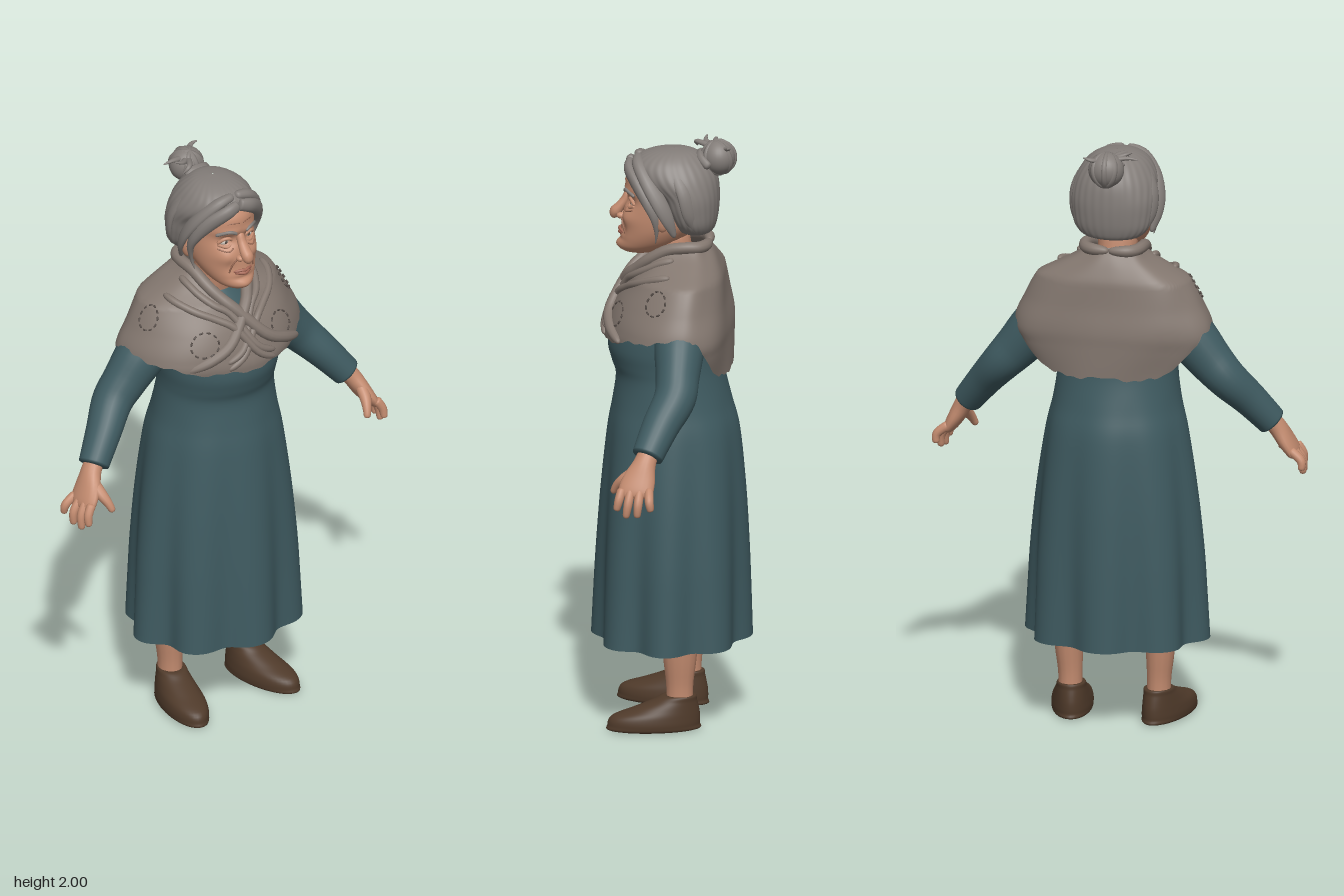
import * as THREE from 'three';

const V = (x, y, z) => new THREE.Vector3(x, y, z);
const mat = (name, color, side = THREE.FrontSide) =>
  Object.assign(new THREE.MeshStandardMaterial({ color, side }), { name });
const bell = (dx, dy, w, h) => Math.exp(-((dx / w) ** 2) - (dy / h) ** 2);

// Smooth interpolation through table rows at fractional index f
function at(rows, f) {
  const n = rows.length, i = Math.min(Math.max(Math.floor(f), 0), n - 2), k = f - i;
  const r = j => rows[Math.min(Math.max(j, 0), n - 1)];
  return rows[i].map((_, c) => {
    const a = r(i - 1)[c], b = r(i)[c], d = r(i + 1)[c], e = r(i + 2)[c];
    return b + 0.5 * k * (d - a + k * (2 * a - 5 * b + 4 * d - e + k * (3 * (b - d) + e - a)));
  });
}

// Closed-around surface from a point rule fn(angle, v)
function skin(nu, nv, fn) {
  const pos = [], idx = [];
  for (let j = 0; j <= nv; j++) for (let i = 0; i < nu; i++) {
    pos.push(...fn(i / nu * Math.PI * 2, j / nv).toArray());
    if (j === nv) continue;
    const a = j * nu + i, b = j * nu + (i + 1) % nu;
    idx.push(a, a + nu, b, b, a + nu, b + nu);
  }
  const g = new THREE.BufferGeometry();
  g.setAttribute('position', new THREE.Float32BufferAttribute(pos, 3));
  g.setIndex(idx);
  g.computeVertexNormals();
  return g;
}

// Stacked oval rings: rows of [y, half width, front z, back z]
const loft = (rows, nu, nv, swell = () => 1, tweak = p => p) => skin(nu, nv, (a, v) => {
  const [y, rx, zf, zb] = at(rows, v * (rows.length - 1)), m = swell(a, y);
  return tweak(V(rx * m * Math.cos(a), y, (zf + zb) / 2 + (zf - zb) / 2 * m * Math.sin(a)));
});

// Bent tapering form: rows of [x, y, z, half width, half thickness], rounded ends
function limb(rows, round = 0.1, nv = 22, nu = 14) {
  const rings = [], last = rows.length - 1;
  let n = V(0, 0, 1);
  for (let j = 0; j <= nv; j++) {
    const t = (1 - Math.cos(Math.PI * j / nv)) / 2, r = at(rows, t * last);
    const p0 = at(rows, Math.max(t - 0.01, 0) * last), p1 = at(rows, Math.min(t + 0.01, 1) * last);
    const d = V(p1[0] - p0[0], p1[1] - p0[1], p1[2] - p0[2]).normalize();
    if (j === 0 && Math.abs(d.z) > 0.9) n = V(0, 1, 0);
    n = n.clone().addScaledVector(d, -n.dot(d)).normalize();
    const e = Math.min(t, 1 - t) / round, cap = e < 1 ? Math.max(Math.sqrt(e * (2 - e)), 0.01) : 1;
    rings.push({ c: V(r[0], r[1], r[2]), n, b: n.clone().cross(d), w: r[3] * cap, h: r[4] * cap });
  }
  return skin(nu, nv, (a, v) => {
    const q = rings[Math.round(v * nv)];
    return q.c.clone().addScaledVector(q.n, q.w * Math.cos(a)).addScaledVector(q.b, q.h * Math.sin(a));
  });
}
const rope = (pts, r, nv = 22, nu = 8) => limb(pts.map(p => [p.x, p.y, p.z, r, r]), 0.12, nv, nu);

// Shawl surface at an angle and height
const SHAWL = [[1.2, .25, .2, -.2], [1.33, .325, .222, -.2], [1.38, .335, .215, -.2], [1.46, .3, .185, -.187],
  [1.545, .255, .13, -.175], [1.58, .19, .095, -.16], [1.62, .12, .07, -.14], [1.66, .085, .05, -.115]];
function shawlPoint(a, y, out = 0) {
  let i = 0;
  while (i < SHAWL.length - 2 && SHAWL[i + 1][0] < y) i++;
  const [, rx, zf, zb] = at(SHAWL, i + (y - SHAWL[i][0]) / (SHAWL[i + 1][0] - SHAWL[i][0]));
  const c = Math.cos(a), s = Math.sin(a), e = s < 0 ? 0.8 : 1, zc = -0.05;
  const depth = (s < 0 ? zc - zb : zf - zc) + out;
  return V((rx + out) * Math.sign(c) * Math.abs(c) ** e, y, zc + depth * Math.sign(s) * Math.abs(s) ** e);
}
const shawlTop = a => Math.sin(a) > 0 ? 1.48 + 0.175 * Math.abs(Math.cos(a)) ** 0.45 : 1.655;
const shawlHem = a => {
  const s = Math.sin(a);
  return 1.385 - 0.06 * Math.max(0, s) ** 2 - 0.16 * THREE.MathUtils.smoothstep(-s, 0.25, 0.85)
    + 0.005 * Math.sin(11 * a) + 0.003 * Math.sin(29 * a);
};

export function createModel() {
  const model = new THREE.Group();
  model.name = 'oldWoman';
  const teal = mat('tealCloth', 0x3f5b61, THREE.DoubleSide), wool = mat('greyWool', 0x83776f, THREE.DoubleSide);
  const flesh = mat('skin', 0xc48c70), hairGrey = mat('greyHair', 0x837d79), leather = mat('brownLeather', 0x4f3a2a);
  const white = mat('eyeWhite', 0xd6cec4), iris = mat('iris', 0x5a5048), lip = mat('lips', 0xa86a58);
  const thread = mat('stitchThread', 0x564d48), crease = mat('wrinkle', 0x9a6a54);
  const add = (name, geo, material, parent = model) => {
    const m = new THREE.Mesh(geo, material);
    m.name = name;
    parent.add(m);
    return m;
  };
  const ball = (name, x, y, z, rx, ry, rz, material) => {
    const m = add(name, new THREE.SphereGeometry(1, 28, 20), material);
    m.position.set(x, y, z);
    m.scale.set(rx, ry, rz);
    return m;
  };

  // Dress with eight folds that deepen toward the hem
  add('dress', loft([[.29, .297, .254, -.254], [.45, .291, .249, -.252], [.6, .284, .243, -.249], [.8, .266, .231, -.241],
    [1, .238, .213, -.224], [1.1, .216, .197, -.2], [1.19, .203, .186, -.178], [1.24, .202, .2, -.17],
    [1.3, .207, .213, -.165], [1.38, .205, .2, -.165], [1.46, .18, .15, -.15], [1.52, .12, .105, -.12],
    [1.56, .075, .065, -.09]], 128, 60,
    (a, y) => 1 + Math.max(0, (1.15 - y) / 0.86) * (0.068 * Math.cos(8 * a) - 0.008 * Math.cos(16 * a))), teal);

  // Shawl, its rolled edges crossing at the chest, and stitched patches
  add('shawl', skin(160, 34, (a, v) => {
    const y = THREE.MathUtils.lerp(shawlHem(a), shawlTop(a), v);
    return shawlPoint(a, y, 0.003 * Math.sin(6 * a + 14 * y));
  }), wool);
  const rad = THREE.MathUtils.degToRad;
  for (const s of [-1, 1]) {
    const turn = phi => rad(-90 + s * phi), over = s < 0 ? 0.012 : 0.002;
    const edge = [0, 30, 60, 90, 120, 150, 166, 176].map(p => shawlPoint(turn(p), shawlTop(turn(p)) - 0.008, 0.004));
    const cross = [[192, 1.43], [206, 1.385], [222, 1.352]].map(([p, y]) => shawlPoint(turn(p), y, over - 0.008));
    add('shawlRolledEdge', rope([...edge, ...cross], 0.02, 60, 12), wool);
    for (const drop of [0.04, 0.08]) {
      const fold = [105, 125, 145, 160, 172].map(p => shawlPoint(turn(p), shawlTop(turn(p)) - drop, 0));
      const tail = [[184, 1.43 - drop * 0.6], [196, 1.39 - drop * 0.6]].map(([p, y]) => shawlPoint(turn(p), y, over - 0.008));
      add('shawlFold', rope([...fold, ...tail], 0.013, 40, 10), wool);
    }
  }
  for (const [deg, y] of [[120, 1.44], [62, 1.43], [22, 1.5], [166, 1.51]]) for (let k = 0; k < 11; k++) {
    const dash = [0, 0.17, 0.34].map(d => {
      const q = k * Math.PI * 2 / 11 + d;
      return shawlPoint(rad(deg) + 0.16 * Math.cos(q), y + 0.038 * Math.sin(q), 0.003);
    });
    add('patchStitch', rope(dash, 0.0032, 6, 6), thread);
  }

  // Head and neck
  add('neck', limb([[0, 1.46, -.03, .085, .1], [0, 1.54, -.02, .07, .075], [0, 1.6, -.005, .066, .066], [0, 1.68, .01, .068, .068]]), flesh);
  add('head', loft([[1.604, .004, .112, .106], [1.608, .035, .155, .06], [1.625, .062, .177, .02], [1.65, .083, .177, -.03],
    [1.685, .1, .17, -.07], [1.72, .109, .166, -.1], [1.76, .113, .158, -.11], [1.8, .114, .15, -.12],
    [1.84, .115, .155, -.13], [1.88, .108, .148, -.13], [1.92, .088, .11, -.11], [1.95, .04, .05, -.05]], 80, 70,
  () => 1, p => {
    const x = Math.abs(p.x), y = p.y;
    if (p.z > 0) p.z += 0.011 * bell(x - .06, y - 1.735, .03, .025) - 0.016 * bell(x - .046, y - 1.787, .025, .02)
      + 0.006 * bell(x - .04, y - 1.822, .04, .012) + 0.007 * bell(x, y - 1.632, .03, .018)
      - 0.007 * bell(x, y - 1.655, .04, .008) - 0.006 * bell(x - .045, y - 1.695, .012, .03);
    return p;
  }), flesh);
  add('nose', limb([[0, 1.815, .142, .014, .014], [0, 1.785, .155, .014, .016], [0, 1.757, .175, .017, .02],
    [0, 1.738, .188, .021, .02], [0, 1.722, .18, .016, .012]], 0.16), flesh).name = 'nose';
  add('upperLip', rope([V(-.036, 1.679, .158), V(-.014, 1.685, .172), V(0, 1.683, .175), V(.014, 1.685, .172), V(.036, 1.679, .158)], 0.005), lip);
  add('lowerLip', rope([V(-.032, 1.677, .159), V(0, 1.672, .174), V(.032, 1.677, .159)], 0.0065), lip);

  // Hair cap and bun
  add('hairCap', loft([[1.685, .01, -.09, -.1], [1.688, .085, -.03, -.135], [1.72, .124, .0, -.15], [1.77, .138, .03, -.157],
    [1.82, .142, .055, -.158], [1.87, .137, .115, -.152], [1.91, .118, .136, -.135], [1.94, .092, .112, -.105],
    [1.96, .055, .06, -.07], [1.967, .003, -.005, -.01]], 160, 44, a => 1 + 0.006 * Math.sin(28 * a)), hairGrey);
  ball('bun', 0, 1.938, -.155, .06, .059, .056, hairGrey);
  for (const tilt of [-0.7, 0.1, 0.8]) {
    const t = add('bunStrand', new THREE.TorusGeometry(0.053, 0.011, 8, 32), hairGrey);
    t.position.set(0, 1.937, -.155);
    t.rotation.set(0.3, Math.PI / 2 + tilt, tilt);
    t.scale.setScalar(0.97);
  }
  add('bunTie', rope([V(-.04, 1.93, -.1), V(-.02, 1.945, -.095), V(.03, 1.94, -.1), V(.055, 1.915, -.13)], 0.016), hairGrey);
  for (const [x, y, z] of [[-.105, 1.975, -.14], [-.08, 1.99, -.11], [.07, 1.985, -.19], [-.07, 1.955, -.08]])
    add('bunWisp', limb([[0, 1.965, -.15, .012, .012], [x * .6, 1.978, z, .009, .007], [x, y, z, .002, .002]]), hairGrey);

  for (const s of [-1, 1]) {
    // Face details
    ball('nostril', s * .018, 1.731, .168, .012, .011, .015, flesh);
    ball('eyeball', s * .046, 1.785, .113, .021, .015, .02, white);
    ball('iris', s * .046, 1.785, .1285, .0075, .0075, .0055, iris);
    add('upperLid', rope([V(s * .022, 1.784, .132), V(s * .036, 1.797, .136), V(s * .055, 1.798, .131), V(s * .073, 1.782, .117)], 0.006), flesh);
    add('lowerLid', rope([V(s * .022, 1.78, .133), V(s * .046, 1.768, .137), V(s * .073, 1.779, .118)], 0.006), flesh);
    add('eyebrow', rope([V(s * .018, 1.818, .154), V(s * .045, 1.829, .149), V(s * .08, 1.815, .118)], 0.006), hairGrey);
    add('eyeBagWrinkle', rope([V(s * .028, 1.765, .149), V(s * .05, 1.756, .15), V(s * .078, 1.766, .123)], 0.0025), crease);
    add('cheekWrinkle', rope([V(s * .027, 1.727, .165), V(s * .042, 1.705, .159), V(s * .048, 1.675, .15)], 0.003), crease);
    add('browWrinkle', rope([V(s * .006, 1.855, .1545), V(s * .03, 1.858, .149), V(s * .055, 1.853, .134)], 0.0022), crease);
    const ear = ball('ear', s * .124, 1.745, .022, .014, .037, .024, flesh);
    ear.rotation.y = s * -0.35;

    // Locks parted over the forehead and sweeping past the temples
    add('frontLock', limb([[s * .002, 1.915, .138, .014, .02], [s * .045, 1.9, .138, .018, .025], [s * .092, 1.862, .108, .02, .026],
      [s * .121, 1.81, .07, .022, .02], [s * .129, 1.76, .045, .018, .013], [s * .122, 1.705, .04, .007, .006],
      [s * .112, 1.665, .045, .002, .002]], 0.04, 40), hairGrey);
    add('sideLock', limb([[s * .004, 1.938, .112, .014, .014], [s * .06, 1.922, .105, .022, .018], [s * .11, 1.87, .07, .026, .018],
      [s * .134, 1.81, .03, .028, .014], [s * .136, 1.75, .0, .022, .011], [s * .12, 1.69, -.02, .008, .007]], 0.06, 36), hairGrey);
    add('backLock', limb([[s * .02, 1.956, .03, .012, .01], [s * .09, 1.92, -.01, .022, .012], [s * .132, 1.85, -.05, .025, .012],
      [s * .134, 1.77, -.07, .022, .01], [s * .1, 1.7, -.09, .008, .008]], 0.08, 30), hairGrey);

    // Sleeve
    add('sleeve', limb([[s * .17, 1.42, -.06, .08, .08], [s * .25, 1.36, -.05, .085, .088], [s * .33, 1.27, -.05, .073, .076],
      [s * .385, 1.21, -.045, .07, .067], [s * .45, 1.135, -.005, .062, .058], [s * .522, 1.045, .035, .052, .05]], 0.02, 36, 24), teal);

    // Hand
    const hand = new THREE.Group();
    hand.name = 'hand';
    model.add(hand);
    add('palm', limb([[s * .505, 1.07, .025, .035, .032], [s * .535, 1.03, .04, .038, .031], [s * .56, .985, .055, .054, .028],
      [s * .584, .945, .066, .058, .022], [s * .595, .925, .068, .045, .014]], 0.1, 24, 20), flesh, hand);
    [[.111, .128, .885], [.081, .096, .862], [.051, .058, .866], [.022, .012, .89]].forEach(([z0, z1, tip], k) => {
      const lean = k * 0.006, mid = (tip + .945) / 2;
      add('finger', limb([[s * .583, .955, z0, .015, .016], [s * (.604 + lean), mid + .006, (z0 + z1) / 2, .015, .015],
        [s * (.607 + lean), tip, z1, .011, .011]], 0.14, 16, 12), flesh, hand);
    });
    add('thumb', limb([[s * .548, 1.015, .06, .018, .02], [s * .543, .98, .105, .019, .02], [s * .532, .952, .132, .015, .015],
      [s * .522, .922, .148, .01, .011]], 0.12, 18, 12), flesh, hand);

    // Leg and shoe
    add('leg', limb([[s * .15, .55, -.04, .062, .06], [s * .156, .36, -.043, .062, .055], [s * .156, .25, -.041, .056, .048],
      [s * .152, .15, -.04, .045, .04], [s * .152, .06, -.04, .045, .04]]), flesh);
    const shoe = add('shoe', loft([[0, .01, .06, .02], [.002, .061, .198, -.094], [.02, .07, .209, -.1], [.05, .067, .194, -.1],
      [.075, .059, .125, -.096], [.1, .051, .06, -.09], [.118, .045, .022, -.085], [.112, .02, -.01, -.055]], 48, 36), leather);
    shoe.position.set(s * .155, 0, -.008);
    shoe.rotation.y = s * 0.2;
  }
  return model;
}
